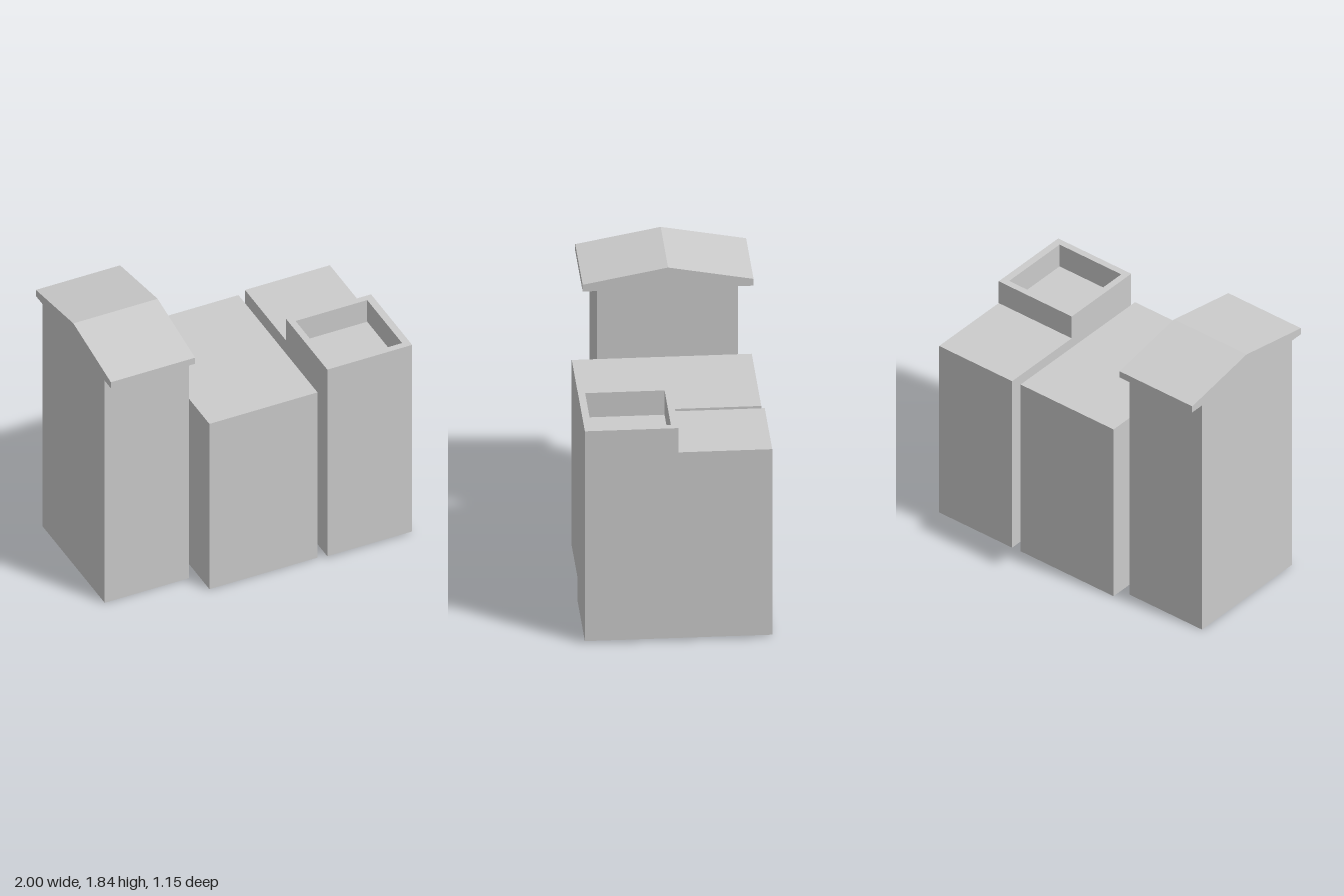
import * as THREE from 'three';

const material = new THREE.MeshStandardMaterial({ color: 0xcccccc, flatShading: true });
const shellMaterial = new THREE.MeshStandardMaterial({ color: 0xcccccc, flatShading: true, side: THREE.DoubleSide });

// Box given by its limits on each axis; skipped faces are numbered +x -x +y -y +z -z
function block(name, [x0, x1], [y0, y1], [z0, z1], skip = []) {
  const geometry = new THREE.BoxGeometry(x1 - x0, y1 - y0, z1 - z0);
  geometry.translate((x0 + x1) / 2, (y0 + y1) / 2, (z0 + z1) / 2);
  const index = Array.from(geometry.index.array);
  geometry.setIndex(index.filter((_, i) => !skip.includes(Math.floor(i / 6))));
  geometry.clearGroups();
  const mesh = new THREE.Mesh(geometry, skip.length ? shellMaterial : material);
  mesh.name = name;
  return mesh;
}

function rectangle(path, x0, x1, y0, y1) {
  path.moveTo(x0, y0).lineTo(x1, y0).lineTo(x1, y1).lineTo(x0, y1).closePath();
  return path;
}

function createTallBuilding() {
  const group = new THREE.Group();
  group.name = 'tallBuilding';
  // Walls, open below and closed by the roof above
  group.add(block('tallWalls', [-1, -0.427], [0, 1.697], [-0.48, 0.387], [2, 3]));

  // Gabled roof overhanging front and back, drawn as (z, y) and extruded along x
  const profile = new THREE.Shape([
    [-0.574, 1.697], [0.474, 1.697], [0.474, 1.743], [-0.05, 1.84], [-0.574, 1.743],
  ].map(([z, y]) => new THREE.Vector2(z, y)));
  const geometry = new THREE.ExtrudeGeometry(profile, { depth: 0.573, bevelEnabled: false });
  geometry.rotateY(-Math.PI / 2).translate(-0.427, 0, 0);
  const roof = new THREE.Mesh(geometry, material);
  roof.name = 'gableRoof';
  group.add(roof);
  return group;
}

function createSteppedBuilding() {
  const group = new THREE.Group();
  group.name = 'steppedBuilding';
  group.add(block('steppedBody', [0.423, 1], [0.015, 1.275], [-0.575, 0.574]));

  // Raised parapet around the sunken front terrace
  const outline = rectangle(new THREE.Shape(), 0.423, 1, 0, 0.574);
  outline.holes.push(rectangle(new THREE.Path(), 0.466, 0.953, 0.043, 0.53));
  const geometry = new THREE.ExtrudeGeometry(outline, { depth: 0.165, bevelEnabled: false });
  geometry.rotateX(Math.PI / 2).translate(0, 1.44, 0);
  const parapet = new THREE.Mesh(geometry, material);
  parapet.name = 'terraceParapet';
  group.add(parapet);
  return group;
}

export function createModel() {
  const model = new THREE.Group();
  model.name = 'buildingRow';
  model.add(
    createTallBuilding(),
    // Plain flat-roofed building, open below
    block('middleBuilding', [-0.365, 0.37], [0.003, 1.265], [-0.558, 0.546], [3]),
    createSteppedBuilding(),
  );
  return model;
}
